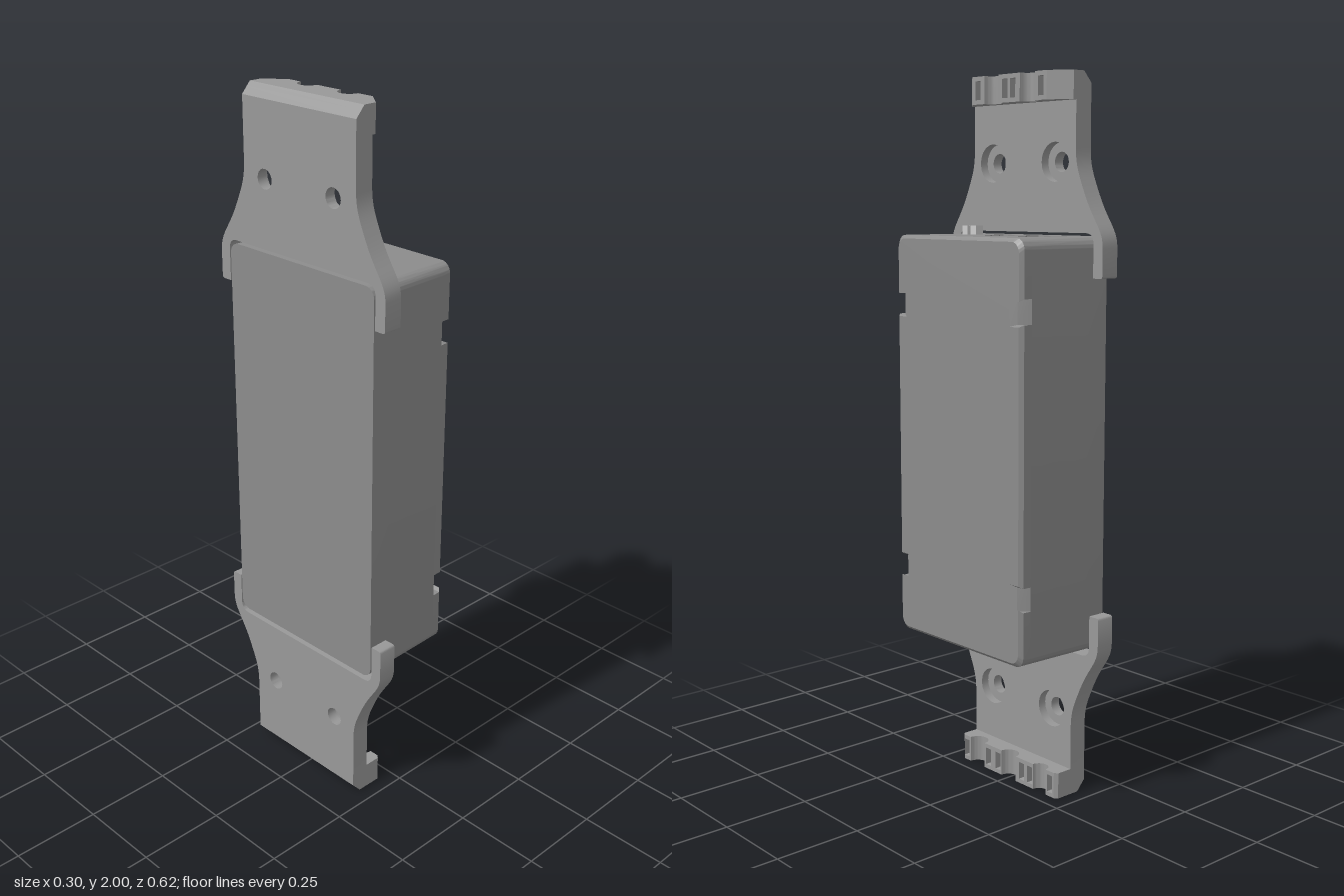
import * as THREE from 'three';
import { mergeGeometries, toCreasedNormals } from 'three/addons/utils/BufferGeometryUtils.js';

const housingGrey = new THREE.MeshStandardMaterial({ color: 0x8c8c8c });
const bracketGrey = new THREE.MeshStandardMaterial({ color: 0x989898 });
const paleGrey = new THREE.MeshStandardMaterial({ color: 0xcccccc });
const red = new THREE.MeshStandardMaterial({ color: 0xdd1122 });

const BACK = -0.15;
const HALF_WIDTH = 0.268, CLIP_START = 0.112, CLIP_CUT = 0.037;

function mesh(name, geo, mat) {
  const m = new THREE.Mesh(geo, mat);
  m.name = name;
  return m;
}

// Slab of a shape between two levels
function slab(shape, from, to) {
  const g = new THREE.ExtrudeGeometry(shape, { depth: to - from, bevelEnabled: false, curveSegments: 10 });
  return g.translate(0, 0, from);
}

// Move every vertex by a rule
function warp(geo, rule) {
  const p = geo.attributes.position;
  const v = new THREE.Vector3();
  for (let i = 0; i < p.count; i++) {
    rule(v.fromBufferAttribute(p, i));
    p.setXYZ(i, v.x, v.y, v.z);
  }
  return geo;
}

const finish = (layers) => toCreasedNormals(mergeGeometries(layers), 0.6);

// Housing cross-section (u = -z, y about the middle), with socket slots and clip notches
function housingOutline(portWidth, clips) {
  const W = HALF_WIDTH, H = 0.567, R = 0.03, depth = 0.05;
  const s = new THREE.Shape();
  const sideNotches = (sign) => {
    if (!clips) return;
    for (const y of [-0.38, 0.38]) {
      const c = y * sign, h = 0.033 * sign;
      s.lineTo(W * sign, c - h);
      s.lineTo((W - CLIP_CUT) * sign, c - h);
      s.lineTo((W - CLIP_CUT) * sign, c + h);
      s.lineTo(W * sign, c + h);
    }
  };
  const endSlots = (sign, ports) => {
    if (!portWidth) return;
    for (const u of ports) {
      const h = portWidth / 2 * sign;
      s.lineTo(u + h, H * sign);
      s.lineTo(u + h, (H - depth) * sign);
      s.lineTo(u - h, (H - depth) * sign);
      s.lineTo(u - h, H * sign);
    }
  };
  s.moveTo(W, -H + R);
  sideNotches(1);
  s.absarc(W - R, H - R, R, 0, Math.PI / 2);
  endSlots(1, [0.134, -0.009]);
  s.absarc(-W + R, H - R, R, Math.PI / 2, Math.PI);
  sideNotches(-1);
  s.absarc(-W + R, -H + R, R, Math.PI, Math.PI * 1.5);
  endSlots(-1, [-0.071, 0.071]);
  s.absarc(W - R, -H + R, R, Math.PI * 1.5, Math.PI * 2);
  return s;
}

// Housing stacked along x: [from, to, socket width, clip notches]
function housing() {
  const layers = [
    [BACK, -0.085, 0, false],
    [-0.085, -0.003, 0.122, false],
    [-0.003, 0.015, 0.07, false],
    [0.015, 0.033, 0.042, false],
    [0.033, CLIP_START, 0, false],
    [CLIP_START, 0.137, 0, true],
    [0.137, 0.147, 0, true],
  ].map(([a, b, port, clips]) => slab(housingOutline(port, clips), a, b));
  for (const g of layers) {
    warp(g, (v) => {
      // clip notches cut the front edges on a slant
      if (Math.abs(Math.abs(v.x) - HALF_WIDTH + CLIP_CUT) < 1e-4) {
        v.x = Math.sign(v.x) * (HALF_WIDTH - CLIP_CUT * (v.z - CLIP_START) / 0.035);
      }
      // slight draft towards the face, and a bevel around it
      v.x *= 1 - 0.03 * (v.z + 0.095) / 0.242;
      if (v.z > 0.146) {
        v.x *= 0.962;
        v.y *= 0.983;
      }
    });
    g.rotateY(Math.PI / 2).translate(0, 1.003, 0);
  }
  return mesh('housing', finish(layers), housingGrey);
}

// Bracket plate outline: half drawn, then mirrored
function plateOutline(holeRadius) {
  const half = new THREE.Shape();
  half.moveTo(0, 1.579);
  half.lineTo(0.245, 1.579);
  half.quadraticCurveTo(0.274, 1.579, 0.274, 1.55);
  half.lineTo(0.274, 1.461);
  half.lineTo(0.3, 1.461);
  half.quadraticCurveTo(0.308, 1.461, 0.308, 1.469);
  half.lineTo(0.308, 1.54);
  half.bezierCurveTo(0.308, 1.59, 0.275, 1.605, 0.24, 1.68);
  half.bezierCurveTo(0.215, 1.735, 0.205, 1.755, 0.205, 1.805);
  half.lineTo(0.205, 1.925);
  const pts = half.getPoints(10);
  const mirrored = pts.slice(1).reverse().map((p) => new THREE.Vector2(-p.x, p.y));
  const s = new THREE.Shape([...pts, ...mirrored]);
  for (const u of [-0.126, 0.126]) {
    s.holes.push(new THREE.Path().absarc(u, 1.766, holeRadius, 0, Math.PI * 2, true));
  }
  return s;
}

// Plan of the cable comb (x, -z): round notches plus optional shallow slots
function combOutline({ notches, slots, chamfer }, withSlots) {
  const F = -0.04, E = 0.205;
  const cuts = notches.map(([v, r]) => ({ v, r }));
  if (withSlots) cuts.push(...slots.map((v) => ({ v })));
  cuts.sort((a, b) => a.v - b.v);
  const s = new THREE.Shape();
  s.moveTo(BACK, -E);
  s.lineTo(F - chamfer * 0.82, -E);
  s.lineTo(F, -E + chamfer);
  for (const { v, r } of cuts) {
    if (r) {
      s.lineTo(F, v - r);
      s.absarc(F, v, r, -Math.PI / 2, Math.PI / 2, true);
    } else {
      s.lineTo(F, v - 0.011);
      s.lineTo(F - 0.02, v - 0.011);
      s.lineTo(F - 0.02, v + 0.011);
      s.lineTo(F, v + 0.011);
    }
  }
  s.lineTo(F, E - chamfer);
  s.lineTo(F - chamfer * 0.82, E);
  s.lineTo(BACK, E);
  return s;
}

function bracket(name, comb) {
  const g = new THREE.Group();
  g.name = name;
  // counterbored plate
  const plate = [slab(plateOutline(0.027), BACK, -0.12), slab(plateOutline(0.053), -0.12, -0.095)];
  plate.forEach((p) => p.rotateY(Math.PI / 2));
  g.add(mesh('bracketPlate', finish(plate), bracketGrey));
  // comb with a chamfered back edge
  const levels = [1.925, 1.937, 1.97, 1.988, 2];
  const layers = [];
  for (let i = 0; i < 4; i++) {
    const layer = slab(combOutline(comb, i === 1 || i === 2), levels[i], levels[i + 1]);
    warp(layer, (v) => {
      if (v.x < BACK + 0.001) v.x += Math.max(0, v.z - 1.97) * 0.9;
    });
    layers.push(layer.rotateX(-Math.PI / 2));
  }
  g.add(mesh('cableComb', finish(layers), bracketGrey));
  return g;
}

function block(name, x0, x1, y0, y1, z0, z1, mat) {
  const m = mesh(name, new THREE.BoxGeometry(x1 - x0, y1 - y0, z1 - z0), mat);
  m.position.set((x0 + x1) / 2, (y0 + y1) / 2, (z0 + z1) / 2);
  return m;
}

export function createModel() {
  const model = new THREE.Group();
  model.name = 'wallMountedAdapter';
  model.add(housing());

  model.add(bracket('upperBracket', {
    notches: [[0.075, 0.03], [-0.07, 0.03]],
    slots: [-0.127, -0.016, 0.016, 0.127],
    chamfer: 0.055,
  }));
  const lower = bracket('lowerBracket', {
    notches: [[0.135, 0.032], [-0.004, 0.031], [-0.135, 0.026]],
    slots: [0.183, 0.085, 0.042, -0.06, -0.095, -0.178],
    chamfer: 0.01,
  });
  // turned end for end below the housing
  lower.rotation.x = Math.PI;
  lower.position.y = 2;
  model.add(lower);

  // indicator posts and lamp on the upper end
  for (const [z0, z1] of [[0.107, 0.13], [0.143, 0.165]]) {
    model.add(block('indicatorPost', -0.04, -0.015, 1.56, 1.595, z0, z1, paleGrey));
  }
  model.add(block('postBridge', -0.04, -0.018, 1.56, 1.58, 0.13, 0.143, housingGrey));
  model.add(block('indicatorLamp', -0.055, -0.041, 1.56, 1.573, 0.143, 0.165, red));
  return model;
}
